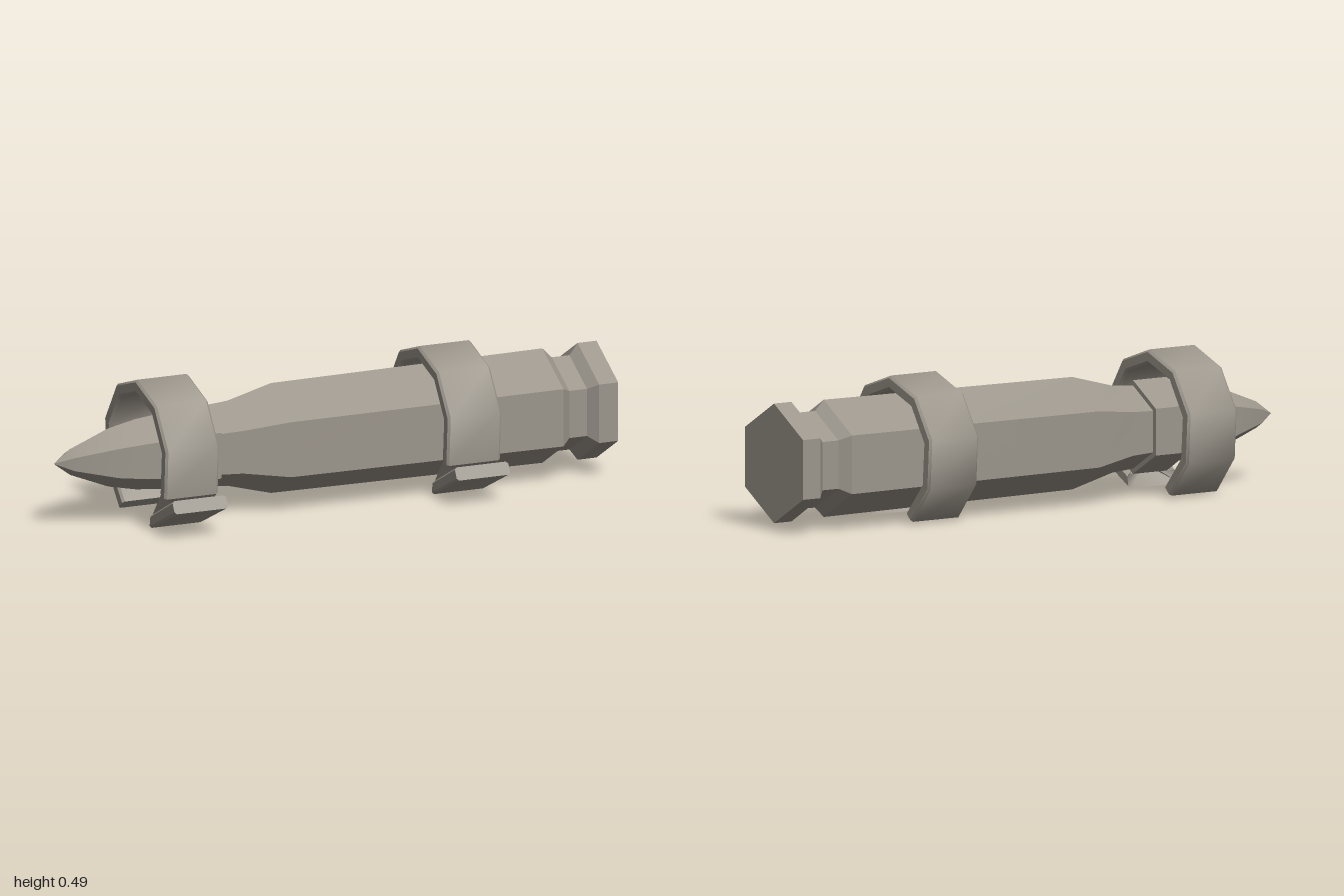
import * as THREE from 'three';
import { toCreasedNormals } from 'three/addons/utils/BufferGeometryUtils.js';

const AXIS_Y = 0.229, AXIS_Z = -0.034;
// dull warm gunmetal
const material = new THREE.MeshStandardMaterial({ color: 0x9c968c });

// Six-sided turned part lying along x; profile is [x, radius] pairs
function hexTurned(name, profile) {
  const points = profile.map(([x, r]) => new THREE.Vector2(r, x));
  const geometry = new THREE.LatheGeometry(points, 6, Math.PI / 6);
  geometry.rotateZ(-Math.PI / 2);
  const mesh = new THREE.Mesh(toCreasedNormals(geometry, 0.6), material);
  mesh.name = name;
  mesh.position.set(0, AXIS_Y, AXIS_Z);
  return mesh;
}

// Bevelled strip swept through stations [outerZ, outerY, innerZ, innerY, xSign]
function clipGeometry(halfWidth) {
  const half = [
    [0.123, 0.434, 0.096, 0.398],
    [0.217, 0.297, 0.174, 0.283],
    [0.206, 0.129, 0.164, 0.145],
  ];
  const mirrored = half.map(([a, b, c, d]) => [2 * AXIS_Z - a, b, 2 * AXIS_Z - c, d]).reverse();
  const stations = [
    [-0.17, 0.008, -0.136, 0.038],
    ...mirrored,
    [AXIS_Z, 0.487, AXIS_Z, 0.441],
    ...half,
    // the strip makes a half twist into the folded-back lip
    [0.08, 0, 0.089, 0.049, -1],
    [0.286, 0.098, 0.265, 0.139, -1],
  ];
  const w = halfWidth, e = halfWidth - 0.008, b = 0.17;
  const section = [[-e, 0], [e, 0], [w, b], [w, 1 - b], [e, 1], [-e, 1], [-w, 1 - b], [-w, b]];
  const n = section.length, positions = [], index = [];
  for (const [oz, oy, iz, iy, sign = 1] of stations) {
    for (const [x, t] of section) positions.push(x * sign, iy + (oy - iy) * t, iz + (oz - iz) * t);
  }
  for (let i = 0; i < stations.length - 1; i++) {
    for (let j = 0; j < n; j++) {
      const a = i * n + j, k = i * n + (j + 1) % n;
      index.push(a, k, k + n, a, k + n, a + n);
    }
  }
  // end caps
  const last = (stations.length - 1) * n;
  for (let j = 1; j < n - 1; j++) {
    index.push(0, j + 1, j, last, last + j, last + j + 1);
  }
  const geometry = new THREE.BufferGeometry();
  geometry.setAttribute('position', new THREE.Float32BufferAttribute(positions, 3));
  geometry.setIndex(index);
  return toCreasedNormals(geometry, 0.7);
}

export function createModel() {
  const model = new THREE.Group();
  model.name = 'clippedCartridge';

  // pointed tip
  model.add(hexTurned('bulletTip', [
    [-1, 0], [-0.94, 0.045], [-0.8, 0.101], [-0.7, 0.122], [-0.55, 0.138],
  ]));

  // neck collar, shoulder, body, groove and rim
  model.add(hexTurned('casing', [
    [-0.58, 0], [-0.58, 0.159], [-0.445, 0.159], [-0.445, 0.141], [-0.36, 0.148],
    [-0.2, 0.191], [0.8, 0.199], [0.835, 0.164], [0.9, 0.164], [0.93, 0.203],
    [1, 0.203], [1, 0],
  ]));

  // two retaining clips
  const clip = clipGeometry(0.0985);
  for (const [name, x] of [['frontClip', -0.601], ['rearClip', 0.439]]) {
    const mesh = new THREE.Mesh(clip, material);
    mesh.name = name;
    mesh.position.x = x;
    model.add(mesh);
  }
  return model;
}
